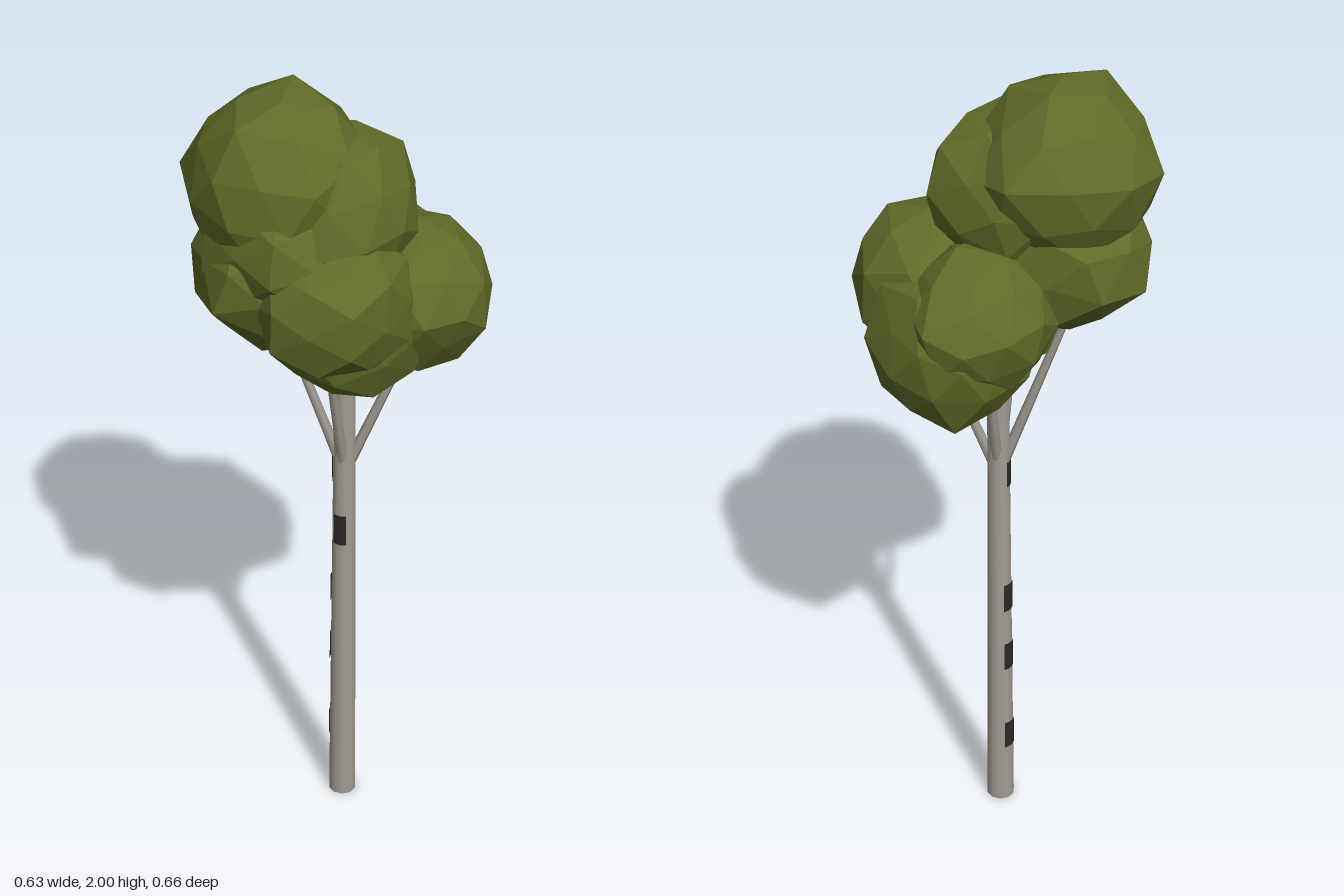
import * as THREE from 'three';

const leafMat = new THREE.MeshStandardMaterial({ color: 0x616b28, flatShading: true });
const barkMat = new THREE.MeshStandardMaterial({ color: 0xa39d92, side: THREE.DoubleSide });
const scarMat = new THREE.MeshStandardMaterial({ color: 0x2a2926, side: THREE.DoubleSide });

const trunkBase = new THREE.Vector3(-0.01, 0, -0.008);
const trunkTop = new THREE.Vector3(0, 1.22, -0.005);
const trunkRadius = (y) => 0.035 - 0.009 * (y / trunkTop.y);

function addMesh(parent, name, geometry, material) {
  const mesh = new THREE.Mesh(geometry, material);
  mesh.name = name;
  parent.add(mesh);
  return mesh;
}

// Open tapered tube between two points
function limb(from, to, r0, r1, sides) {
  const dir = to.clone().sub(from);
  const geo = new THREE.CylinderGeometry(r1, r0, dir.length(), sides, 1, true);
  geo.applyQuaternion(new THREE.Quaternion().setFromUnitVectors(
    new THREE.Vector3(0, 1, 0), dir.clone().normalize()));
  const mid = from.clone().add(to).multiplyScalar(0.5);
  return geo.translate(mid.x, mid.y, mid.z);
}

// Faceted leaf clump: each corner is pushed in or out by a rule on its direction
function clump([x, y, z, rx, ry, rz], seed) {
  const geo = new THREE.IcosahedronGeometry(1, 1);
  geo.rotateY(seed * 1.3).rotateX(seed * 0.7);
  const pos = geo.attributes.position;
  const v = new THREE.Vector3();
  for (let i = 0; i < pos.count; i++) {
    v.fromBufferAttribute(pos, i);
    const bump = Math.sin(v.x * 7.1 + seed * 2) + Math.sin(v.y * 8.3 + seed) + Math.sin(v.z * 7.7 + seed * 3);
    v.multiplyScalar(1 + 0.035 * bump);
    pos.setXYZ(i, x + v.x * rx, y + v.y * ry, z + v.z * rz);
  }
  geo.computeVertexNormals();
  return geo;
}

export function createModel() {
  const tree = new THREE.Group();
  tree.name = 'tree';

  addMesh(tree, 'trunk', limb(trunkBase, trunkTop, trunkRadius(0), trunkRadius(1.22), 10), barkMat);

  // Branches fan out from the upper trunk into the crown
  const fork = new THREE.Vector3(0, 0.99, -0.004);
  [[-0.13, 1.42, 0.07], [0.13, 1.36, -0.08], [0.03, 1.36, 0.1], [-0.045, 1.36, -0.1]].forEach((tip, i) =>
    addMesh(tree, `branch${i + 1}`, limb(fork, new THREE.Vector3(...tip), 0.014, 0.009, 6), barkMat));

  // Dark bark scars wrapped around part of the trunk: height, length, facing angle
  [[0.835, 0.085, 0.25], [1.0, 0.07, -1.2], [0.64, 0.08, -1.57], [0.46, 0.08, -1.57], [0.21, 0.08, -1.57]]
    .forEach(([y, h, angle], i) => {
      const width = 1.1;
      const scar = addMesh(tree, `barkScar${i + 1}`, new THREE.CylinderGeometry(
        trunkRadius(y + h / 2) + 0.0015, trunkRadius(y - h / 2) + 0.0015, h, 3, 1, true, angle - width / 2, width), scarMat);
      scar.position.lerpVectors(trunkBase, trunkTop, y / trunkTop.y);
    });

  // Overlapping leaf clumps, from the top down: centre, then radii
  const crown = new THREE.Group();
  crown.name = 'crown';
  tree.add(crown);
  [
    [-0.095, 1.79, 0.105, 0.21, 0.21, 0.215],
    [0.005, 1.725, 0.05, 0.195, 0.195, 0.195],
    [-0.05, 1.67, 0.12, 0.2, 0.18, 0.2],
    [-0.09, 1.585, 0.11, 0.2, 0.19, 0.21],
    [0.075, 1.56, 0.135, 0.18, 0.18, 0.19],
    [0.05, 1.48, 0.035, 0.2, 0.21, 0.2],
    [-0.04, 1.5, -0.125, 0.17, 0.17, 0.18],
    [0.015, 1.43, -0.135, 0.19, 0.2, 0.205],
    [0.135, 1.51, -0.075, 0.19, 0.185, 0.175],
  ].forEach((c, i) => addMesh(crown, `leafClump${i + 1}`, clump(c, i + 1), leafMat));

  return tree;
}
